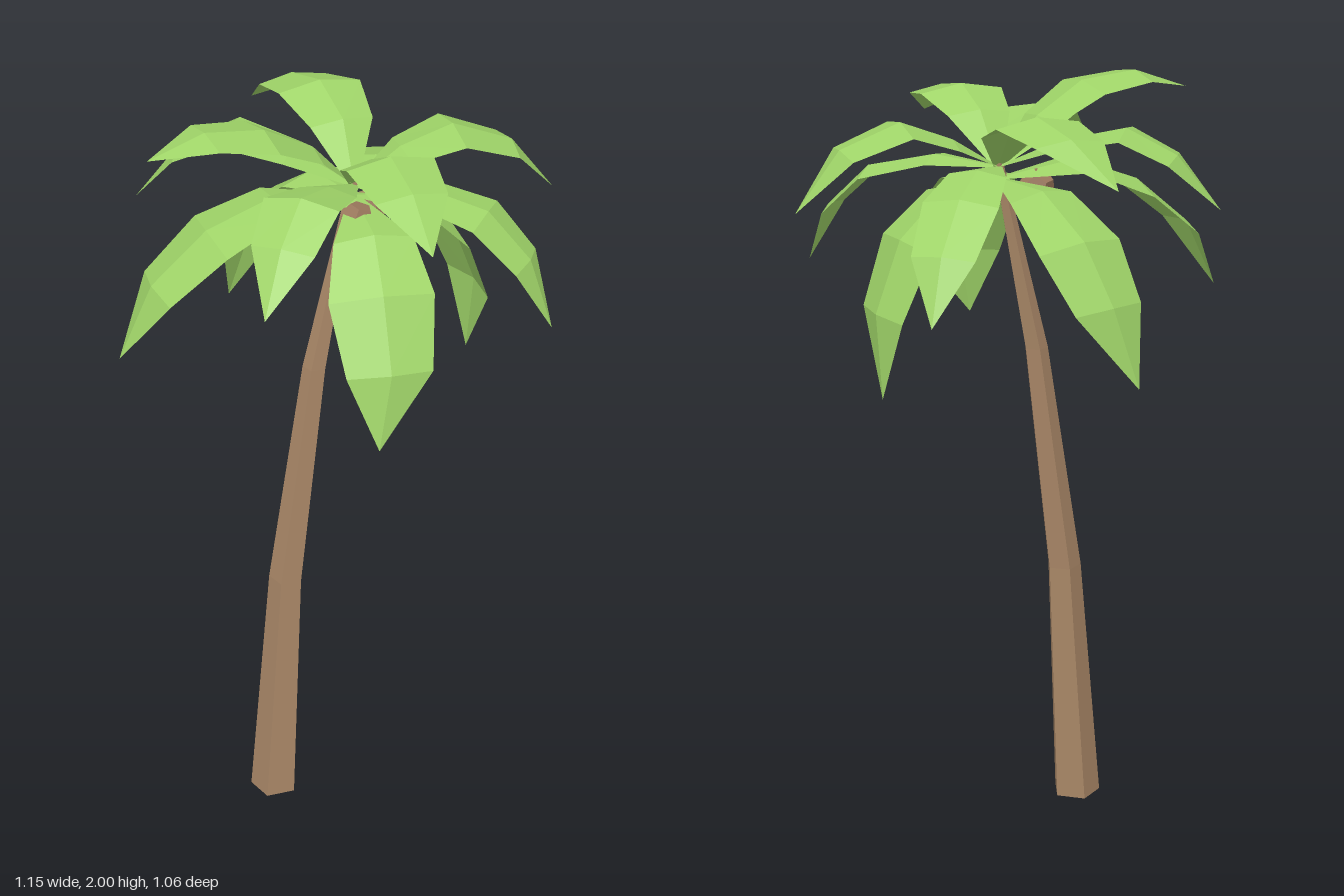
import * as THREE from 'three';

const V = (x, y, z) => new THREE.Vector3(x, y, z);

// Half widths of a frond from its stem to its tip
const WIDE = [0.012, 0.085, 0.112, 0.092, 0];
const LOW = [0.012, 0.1, 0.132, 0.108, 0];
const SLIM = [0.012, 0.075, 0.098, 0.082, 0];

// Each frond: name, half widths, then its spine from stem to tip
const FRONDS = [
  ['upperFrondLeft', WIDE, [0.17, 1.87, 0], [0.30, 1.92, 0.028], [0.455, 1.86, 0.05], [0.574, 1.71, 0.055]],
  ['upperFrondRight', WIDE, [-0.065, 1.91, 0], [-0.2, 1.985, 0.018], [-0.35, 2.0, 0.01], [-0.494, 1.947, 0]],
  ['upperFrondBack', WIDE, [0.07, 1.91, -0.125], [0.065, 1.965, -0.26], [0.045, 1.935, -0.40], [-0.015, 1.83, -0.53]],
  ['upperFrondFront', WIDE, [0.035, 1.91, 0.125], [0.038, 1.96, 0.23], [0.025, 1.93, 0.385], [0.01, 1.835, 0.53]],
  ['lowerFrondRight', LOW, [-0.17, 1.79, -0.01], [-0.34, 1.725, -0.025], [-0.486, 1.6, -0.03], [-0.576, 1.416, -0.03]],
  ['lowerFrondLeft', LOW, [0.2, 1.74, 0], [0.32, 1.63, -0.005], [0.395, 1.45, -0.02], [0.394, 1.236, -0.053]],
  ['lowerFrondFront', LOW, [0.015, 1.74, 0.19], [-0.018, 1.64, 0.32], [-0.035, 1.47, 0.41], [-0.077, 1.284, 0.434]],
  ['lowerFrondBack', LOW, [0.01, 1.76, -0.18], [-0.03, 1.66, -0.33], [-0.065, 1.51, -0.42], [-0.12, 1.305, -0.455]],
  ['diagonalFrondBackRight', SLIM, [-0.075, 1.865, -0.105], [-0.205, 1.905, -0.213], [-0.31, 1.84, -0.288], [-0.41, 1.70, -0.336]],
  ['diagonalFrondFrontRight', SLIM, [-0.07, 1.85, 0.11], [-0.19, 1.89, 0.222], [-0.276, 1.81, 0.304], [-0.35, 1.67, 0.38]],
  ['diagonalFrondBackLeft', SLIM, [0.15, 1.81, -0.1], [0.25, 1.77, -0.21], [0.344, 1.66, -0.307], [0.395, 1.5, -0.36]],
  ['diagonalFrondFrontLeft', SLIM, [0.17, 1.81, 0.115], [0.30, 1.77, 0.237], [0.378, 1.66, 0.32], [0.407, 1.5, 0.39]],
];

// Leaf folded along its spine, two panels per section
function frondGeometry(widths, points, stemY) {
  const spine = [V(0.045, stemY, 0), ...points.map((p) => V(...p))];
  const run = spine[3].clone().sub(spine[0]).setY(0).normalize();
  const side = V(-run.z, 0, run.x);
  const positions = [];
  spine.forEach((p, i) => {
    const tangent = spine[Math.min(i + 1, 4)].clone().sub(spine[Math.max(i - 1, 0)]).normalize();
    const up = side.clone().cross(tangent).normalize();
    const w = widths[i];
    for (const s of [-1, 0, 1]) {
      const q = p.clone().addScaledVector(side, s * w);
      q.addScaledVector(up, -Math.abs(s) * w * 0.18);
      positions.push(q.x, q.y, q.z);
    }
  });
  const index = [];
  for (let i = 0; i < 4; i++) {
    for (let j = 0; j < 2; j++) {
      const a = i * 3 + j, b = a + 1, c = a + 3, d = a + 4;
      if (i === 3) index.push(a, b, d); // sections close at the tip
      else index.push(a, b, d, a, d, c);
    }
  }
  const g = new THREE.BufferGeometry();
  g.setAttribute('position', new THREE.Float32BufferAttribute(positions, 3));
  g.setIndex(index);
  const flat = g.toNonIndexed();
  flat.computeVertexNormals();
  return flat;
}

// Five-sided trunk, bent and tapered ring by ring: x, y, radius
function trunkGeometry() {
  const rings = [[-0.19, 0, 0.066], [-0.147, 0.68, 0.047], [-0.062, 1.3, 0.032], [0.045, 1.8, 0.013]];
  const start = THREE.MathUtils.degToRad(103);
  const g = new THREE.CylinderGeometry(1, 1, 1, 5, 3, false, start);
  const p = g.attributes.position;
  for (let i = 0; i < p.count; i++) {
    const [x, y, r] = rings[Math.round((p.getY(i) + 0.5) * 3)];
    p.setXYZ(i, x + p.getX(i) * r, y, p.getZ(i) * r);
  }
  const flat = g.toNonIndexed();
  flat.computeVertexNormals();
  return flat;
}

export function createModel() {
  const bark = new THREE.MeshStandardMaterial({ color: 0xa98767, flatShading: true });
  bark.name = 'bark brown';
  const leaf = new THREE.MeshStandardMaterial({ color: 0x9fd468, flatShading: true, side: THREE.DoubleSide });
  leaf.name = 'leaf green';
  const shell = new THREE.MeshStandardMaterial({ color: 0x9a775c, flatShading: true });
  shell.name = 'nut brown';

  const tree = new THREE.Group();
  tree.name = 'palmTree';
  const add = (name, geometry, material) => {
    const mesh = new THREE.Mesh(geometry, material);
    mesh.name = name;
    tree.add(mesh);
    return mesh;
  };

  add('trunk', trunkGeometry(), bark);

  // Crown
  for (const [name, widths, ...points] of FRONDS) {
    add(name, frondGeometry(widths, points, widths === LOW ? 1.76 : 1.79), leaf);
  }

  // Nuts clustered under the crown
  const nuts = [[-0.06, 1.73, -0.01], [0.09, 1.715, -0.01], [0.025, 1.725, 0.065]];
  nuts.forEach((at, i) => {
    const nut = add('coconut' + (i + 1), new THREE.DodecahedronGeometry(0.046), shell);
    nut.position.set(...at);
    nut.rotation.set(i * 0.9, i * 1.7, 0.3);
  });

  return tree;
}
